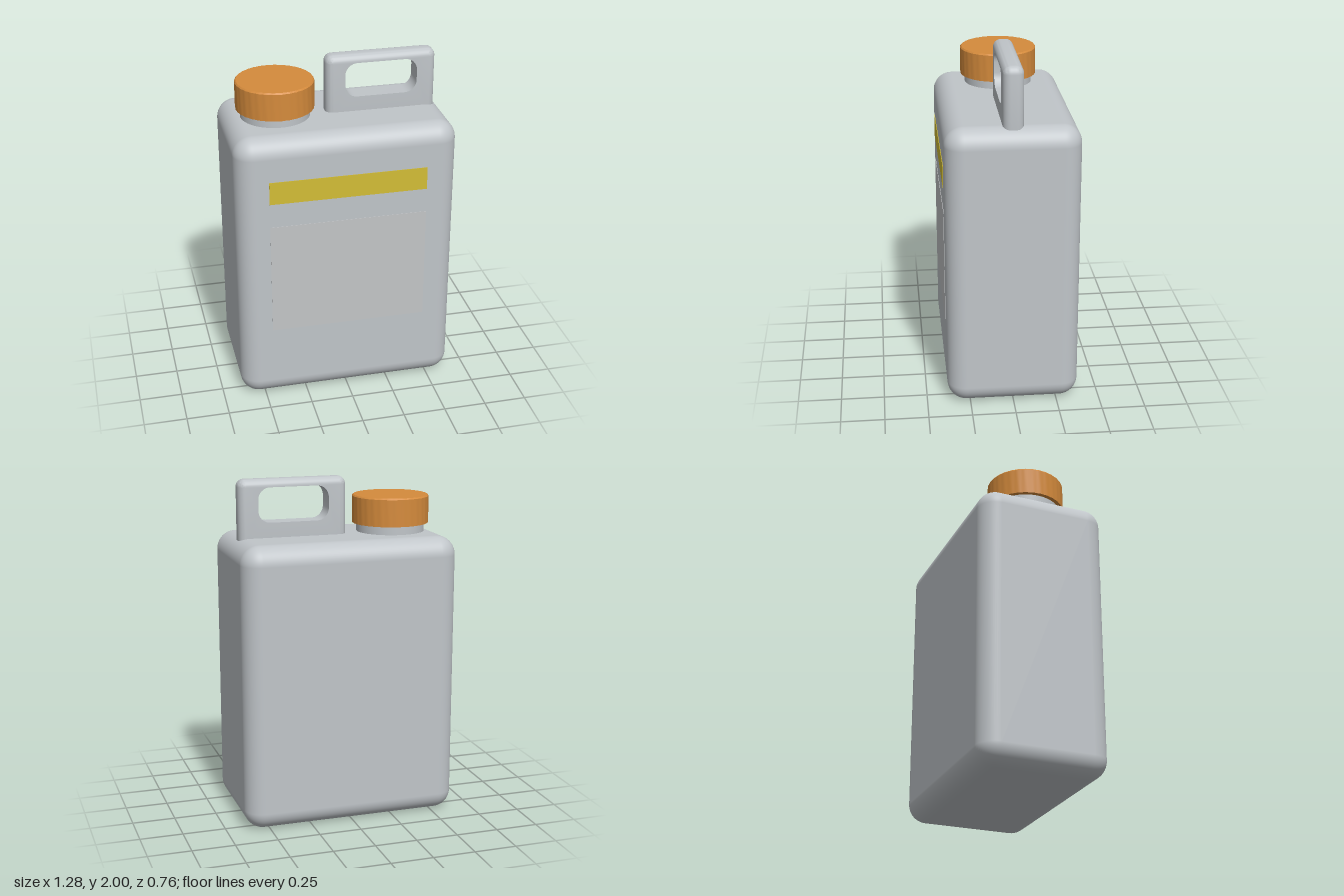
import * as THREE from 'three';
import { toCreasedNormals } from 'three/addons/utils/BufferGeometryUtils.js';
import { RoundedBoxGeometry } from 'three/addons/geometries/RoundedBoxGeometry.js';

const material = (name, color) => {
  const m = new THREE.MeshStandardMaterial({ color });
  m.name = name;
  return m;
};

// Counter-clockwise rounded rectangle, with the same point count for any radius
function roundedRing(x0, x1, y0, y1, r, steps = 8) {
  const points = [];
  const corners = [[x1 - r, y0 + r, -0.5], [x1 - r, y1 - r, 0], [x0 + r, y1 - r, 0.5], [x0 + r, y0 + r, 1]];
  for (const [cx, cy, start] of corners) {
    for (let i = 0; i <= steps; i++) {
      const a = Math.PI * (start + i / steps / 2);
      points.push([cx + r * Math.cos(a), cy + r * Math.sin(a)]);
    }
  }
  return points;
}

// Grip plate: soft outer edge, crisp rounded opening
function handleGeometry() {
  const half = 0.058, r = 0.044, steps = 8;
  const rings = [];
  for (const side of [-1, 1]) {
    for (let i = 0; i <= steps; i++) {
      const a = (Math.PI / 2) * (side < 0 ? 1 - i / steps : i / steps);
      const inset = r * (1 - Math.cos(a));
      const z = side * (half - r + r * Math.sin(a));
      rings.push({
        z,
        points: roundedRing(-0.057 + inset, 0.585 - inset, 1.6 + inset, 2 - inset, Math.max(r - inset, 0.001)),
      });
    }
  }
  for (const z of [half, -half]) rings.push({ z, points: roundedRing(0.053, 0.473, 1.752, 1.954, 0.07) });

  const n = rings[0].points.length;
  const positions = [], index = [];
  rings.forEach(({ z, points }, j) => {
    const next = (j + 1) % rings.length;
    points.forEach(([x, y], i) => {
      const k = (i + 1) % n;
      positions.push(x, y, z);
      index.push(j * n + i, j * n + k, next * n + k, j * n + i, next * n + k, next * n + i);
    });
  });
  const geometry = new THREE.BufferGeometry();
  geometry.setAttribute('position', new THREE.Float32BufferAttribute(positions, 3));
  geometry.setIndex(index);
  return toCreasedNormals(geometry, 0.6);
}

// Screw cap: small top bevel and fine grip ridges around the wall
function capGeometry() {
  const profile = [[0, 1.715], [0.226, 1.715], [0.226, 1.872], [0.219, 1.88], [0, 1.88]];
  const geometry = new THREE.LatheGeometry(profile.map(([x, y]) => new THREE.Vector2(x, y)), 96);
  const p = geometry.attributes.position;
  for (let i = 0; i < p.count; i++) {
    const a = Math.atan2(p.getZ(i), p.getX(i));
    const s = 1 - 0.006 * (1 - Math.cos(a * 32));
    p.setX(i, p.getX(i) * s);
    p.setZ(i, p.getZ(i) * s);
  }
  return toCreasedNormals(geometry, 0.6);
}

export function createModel() {
  const group = new THREE.Group();
  const plastic = material('grey plastic', 0xc0c5c9);
  const orange = material('orange cap', 0xd58b3c);
  const yellow = material('yellow band', 0xd2bd36);
  const paper = material('pale grey label', 0xc3c5c7);

  const add = (name, geometry, mat, x = 0, y = 0, z = 0) => {
    const mesh = new THREE.Mesh(geometry, mat);
    mesh.name = name;
    mesh.position.set(x, y, z);
    group.add(mesh);
  };

  // Container
  add('body', new RoundedBoxGeometry(1.28, 1.665, 0.76, 8, 0.11), plastic, 0, 0.8325, 0);
  add('handle', handleGeometry(), plastic);

  // Spout
  add('neck', new THREE.CylinderGeometry(0.2, 0.2, 0.1, 64), plastic, -0.345, 1.68, 0);
  add('cap', capGeometry(), orange, -0.345, 0, 0);

  // Front markings
  add('band', new THREE.BoxGeometry(0.91, 0.135, 0.006), yellow, 0, 1.352, 0.38);
  add('label', new THREE.BoxGeometry(0.91, 0.68, 0.005), paper, 0, 0.8, 0.38);

  return group;
}
